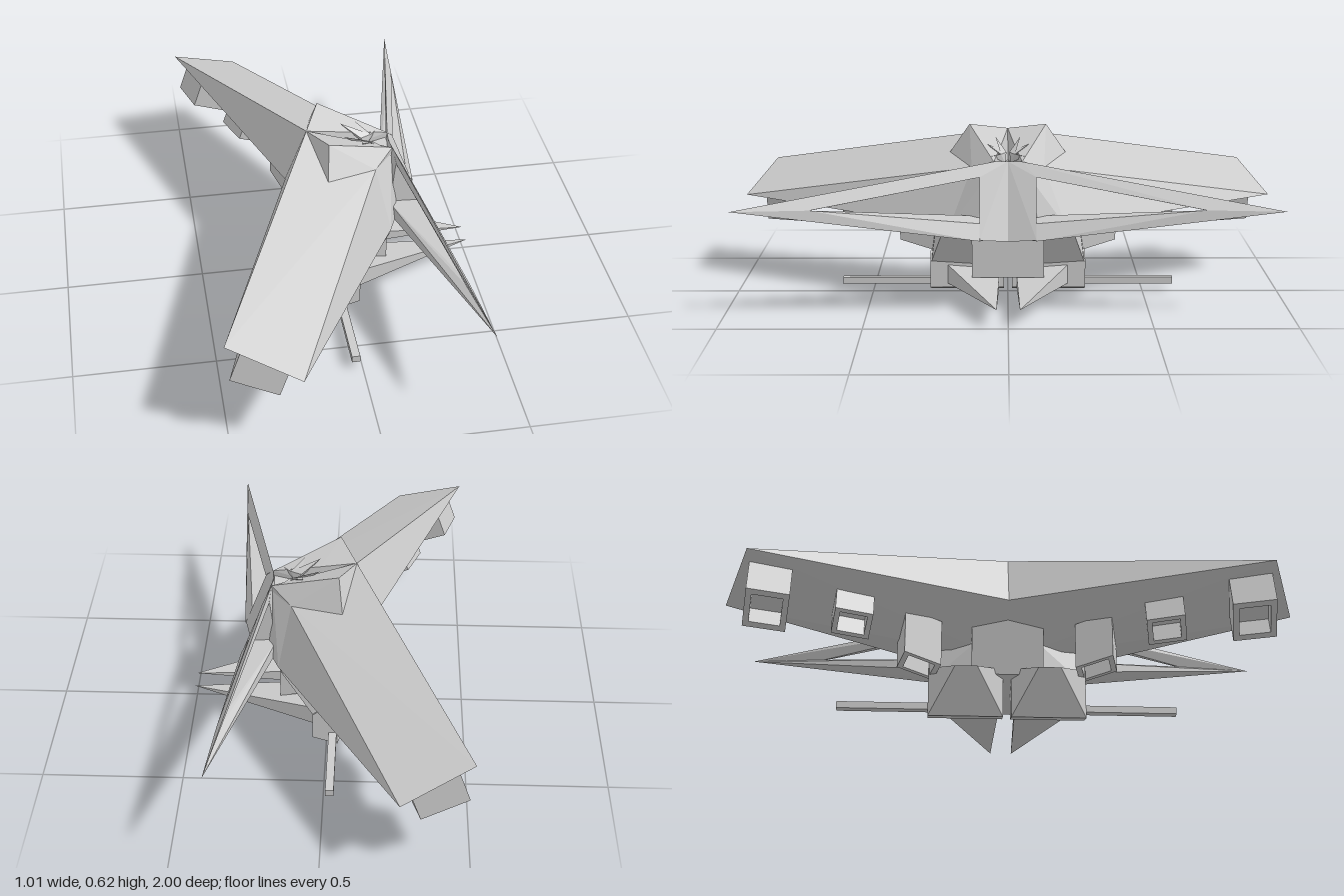
import * as THREE from 'three';
import { ConvexGeometry } from 'three/addons/geometries/ConvexGeometry.js';

const material = new THREE.MeshStandardMaterial({ color: 0xcccccc, flatShading: true });

// Faceted solid around a few corner points, placed on side s (+1 or -1 in z).
function solid(parent, name, s, points) {
  const corners = points.map(([x, y, z]) => new THREE.Vector3(x, y, z * s));
  const mesh = new THREE.Mesh(new ConvexGeometry(corners), material);
  mesh.name = name;
  parent.add(mesh);
}

// Straight prism: an xy outline pushed from z0 to z1.
const prism = (outline, z0, z1) =>
  outline.flatMap(([x, y]) => [[x, y, z0], [x, y, z1]]);

// Slanted box duct spanned by u, v, w; open at the bottom (v = 0) with a recessed floor.
function duct(parent, name, s, origin, u, v, w) {
  const group = new THREE.Group();
  group.name = name;
  const block = (part, [a0, a1], [b0, b1], [c0, c1]) => {
    const pts = [];
    for (const a of [a0, a1]) for (const b of [b0, b1]) for (const c of [c0, c1])
      pts.push(origin.map((o, i) => o + a * u[i] + b * v[i] + c * w[i]));
    solid(group, part, s, pts);
  };
  const t = 0.14;
  block('ductWall', [0, t], [0, 1], [0, 1]);
  block('ductWall', [1 - t, 1], [0, 1], [0, 1]);
  block('ductWall', [t, 1 - t], [0, 1], [0, t]);
  block('ductWall', [t, 1 - t], [0, 1], [1 - t, 1]);
  block('ductFloor', [t, 1 - t], [0.5, 0.9], [t, 1 - t]);
  parent.add(group);
}

function buildSide(s) {
  const side = new THREE.Group();
  side.name = s > 0 ? 'nearHalf' : 'farHalf';

  // Shared corners
  const spine = [-0.1, 0.6, 0];
  const shoulder = [0.13, 0.495, 0.13];
  const brow = [0.205, 0.53, 0.05];
  const wingFoot = [0.175, 0.285, 0.21];
  const frameFoot = [0.185, 0.28, 0.1];

  // Swept main wing
  solid(side, 'mainWing', s, [
    spine, shoulder, wingFoot, [-0.18, 0.4, 0.14],
    [-0.503, 0.415, 0.91], [-0.26, 0.315, 1.0],
    [-0.18, 0.4, 0], [0.05, 0.265, 0],
  ]);

  // Body core and raised hump, leaving a valley along the middle
  solid(side, 'bodyCore', s, [
    [0.05, 0.5, 0], shoulder, [0.2, 0.51, 0.05], [0.2, 0.5, 0],
    wingFoot, [0.175, 0.25, 0], [0.0, 0.27, 0], [0.215, 0.29, 0.12],
  ]);
  solid(side, 'hump', s, [
    spine, [-0.04, 0.625, 0.14], [-0.055, 0.515, 0.215], shoulder, brow,
    [0.03, 0.57, 0.02], [0.0, 0.5, 0], [0.2, 0.48, 0.05],
  ]);

  // Small blades in the hump valley
  for (const [x, y, z] of [[0.03, 0.59, 0.045], [0.09, 0.574, 0.075], [0.17, 0.543, 0.06]]) {
    solid(side, 'topBlade', s, [
      [x, y, z], [0.1, 0.545, 0.005], [0.14, 0.545, 0.025], [0.12, 0.51, 0.01],
    ]);
  }

  // Front column joining the forward frames
  solid(side, 'frontColumn', s, [
    [0.2, 0.53, 0], brow, [0.175, 0.25, 0], [0.29, 0.26, 0],
    [0.21, 0.495, 0.1], [0.235, 0.48, 0.1], frameFoot, [0.315, 0.27, 0.1],
  ]);

  // Forward wing: two tapering arms around a triangular opening
  const tip = [0.372, 0.385, 0.965];
  const holeTip = [[0.335, 0.382, 0.69], [0.348, 0.385, 0.69]];
  solid(side, 'forwardWingUpperArm', s, [
    brow, [0.21, 0.49, 0.1], [0.237, 0.48, 0.1], ...holeTip, tip,
  ]);
  solid(side, 'forwardWingLowerArm', s, [
    frameFoot, [0.185, 0.33, 0.1], [0.29, 0.325, 0.1], [0.318, 0.268, 0.1],
    [0.25, 0.258, 0.06], ...holeTip, tip,
  ]);

  // Ducts hanging below the wing
  duct(side, 'outerDuct', s, [-0.33, 0.205, 0.93], [-0.16, 0.065, -0.025], [0.043, 0.123, 0], [0.045, 0, -0.145]);
  duct(side, 'middleDuct', s, [-0.235, 0.23, 0.63], [-0.11, 0.045, -0.02], [0.05, 0.14, 0], [0.05, 0, -0.13]);
  duct(side, 'innerDuct', s, [-0.04, 0.19, 0.4], [-0.15, -0.005, -0.03], [0, 0.17, 0], [0.045, -0.03, -0.13]);

  // Lower hull: keel, leg and foot pod
  solid(side, 'keel', s, prism(
    [[-0.12, 0.42], [-0.06, 0.16], [0.05, 0.12], [0.175, 0.1], [0.175, 0.29]], 0, 0.13));
  solid(side, 'leg', s, [
    [0.0, 0.155, 0.28], [0.01, 0.29, 0.26], [0.165, 0.28, 0.23], [0.05, 0.13, 0.28],
    [-0.04, 0.16, 0.12], [-0.04, 0.29, 0.12], [0.17, 0.28, 0.12], [0.05, 0.12, 0.12],
  ]);
  solid(side, 'footPod', s, [
    ...prism([[-0.04, 0.003], [0.05, 0.03], [0.05, 0.13], [-0.035, 0.19]], 0.015, 0.285),
    [-0.12, 0.165, 0.19], [-0.12, 0.165, 0.11],
  ]);

  // Long forward spike and sideways barrel
  solid(side, 'forwardSpike', s, [
    [0.05, 0.115, 0.22], [0.05, 0.1, 0.03], [0.05, 0.045, 0.22], [0.05, 0.045, 0.03],
    [0.503, 0.071, 0.04],
  ]);
  solid(side, 'sideBarrel', s, prism(
    [[-0.037, 0.028], [-0.008, 0.028], [-0.008, 0.053], [-0.037, 0.053]], 0.25, 0.612));

  return side;
}

export function createModel() {
  const model = new THREE.Group();
  model.name = 'wingedCraft';
  for (const s of [1, -1]) model.add(buildSide(s));
  return model;
}
